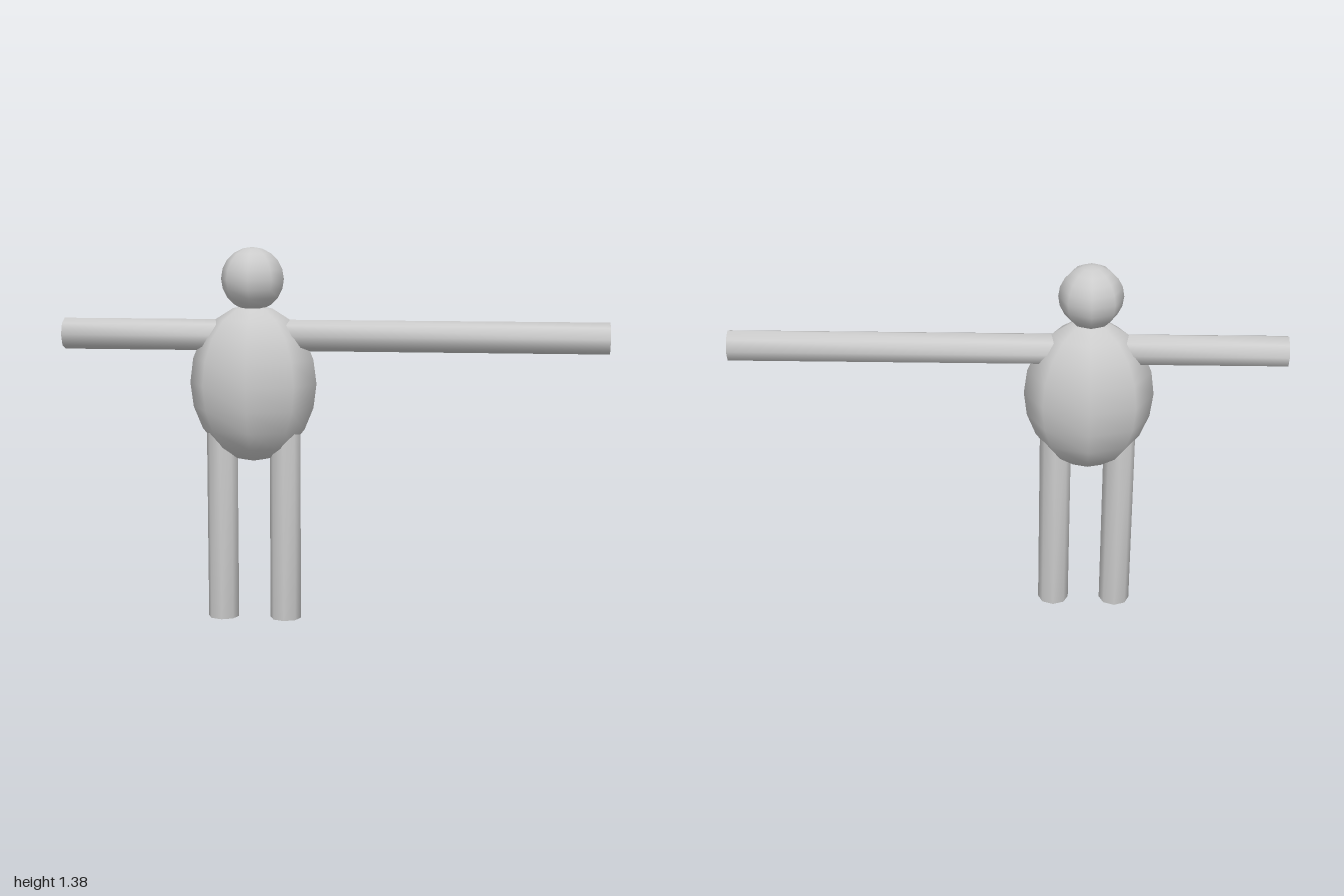
import * as THREE from 'three';
import { mergeVertices } from 'three/addons/utils/BufferGeometryUtils.js';

const CENTER_X = -0.295;
const LIMB_RADIUS = 0.0575;

export function createModel() {
  const model = new THREE.Group();
  const material = new THREE.MeshStandardMaterial({ color: 0xcccccc });

  const add = (name, geometry, x, y) => {
    const mesh = new THREE.Mesh(geometry, material);
    mesh.name = name;
    mesh.position.set(x, y, 0);
    model.add(mesh);
    return mesh;
  };

  // Eight-sided rod whose normals run smoothly over the end caps
  const rod = (length) => {
    const geometry = new THREE.CylinderGeometry(LIMB_RADIUS, LIMB_RADIUS, length, 8);
    geometry.deleteAttribute('normal');
    geometry.deleteAttribute('uv');
    const welded = mergeVertices(geometry);
    welded.computeVertexNormals();
    return welded;
  };

  // Egg-shaped torso and round head
  const torso = new THREE.SphereGeometry(1, 8, 10).scale(0.235, 0.29, 0.175);
  add('torso', torso, CENTER_X, 0.885);
  add('head', new THREE.SphereGeometry(0.116, 8, 10), CENTER_X, 1.268);

  for (const [side, sign] of [['left', 1], ['right', -1]]) {
    // Legs end inside the torso
    const legHeight = 0.8;
    add(side + 'Leg', rod(legHeight), CENTER_X + sign * 0.1175, legHeight / 2);

    // Arms of unequal length, from inside the torso out to the tips
    const inner = CENTER_X + sign * 0.06;
    const arm = add(side + 'Arm', rod(Math.abs(sign - inner)), (sign + inner) / 2, 1.0625);
    arm.rotation.z = -sign * Math.PI / 2;
  }
  return model;
}
